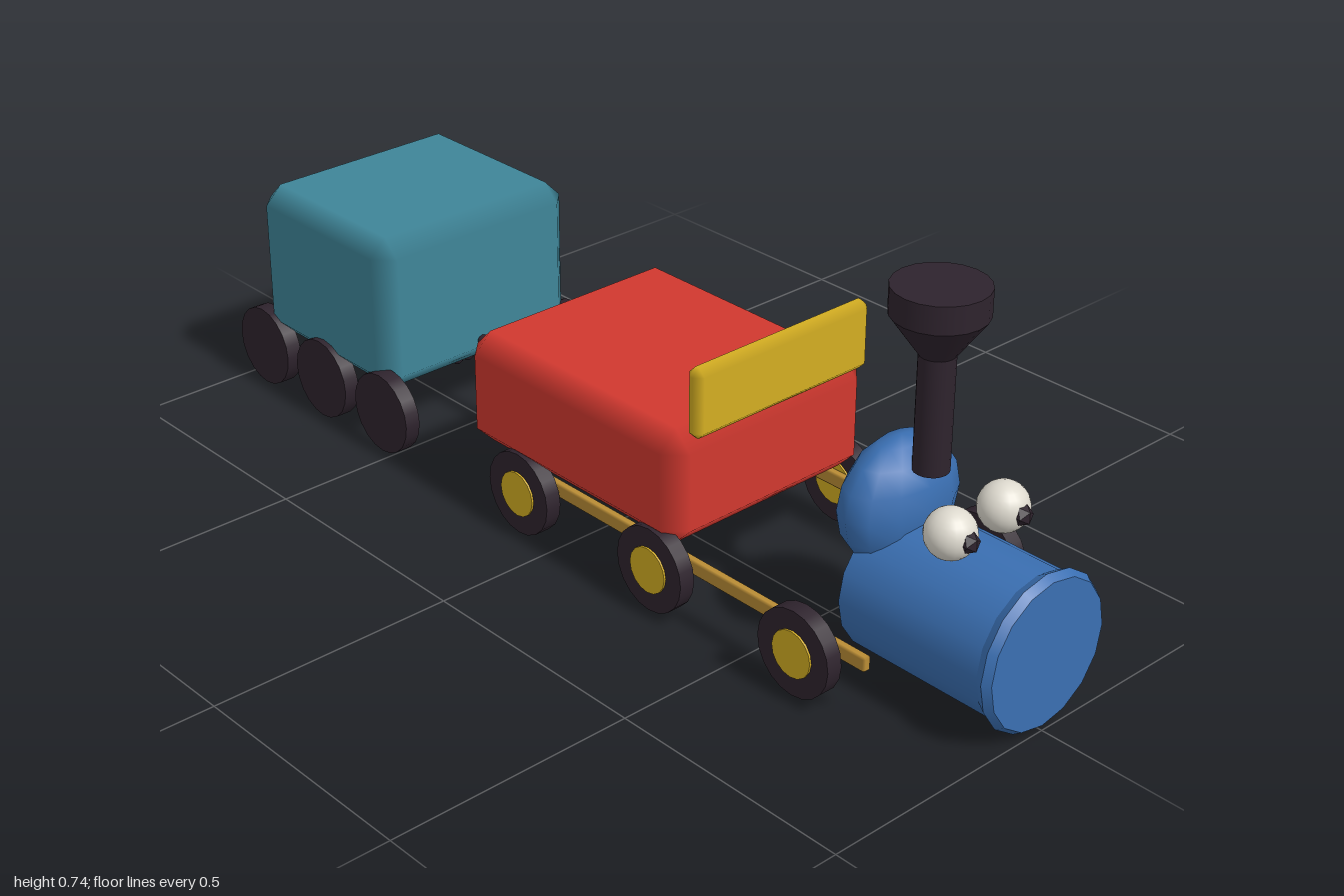
import * as THREE from 'three';
import { ConvexGeometry } from 'three/addons/geometries/ConvexGeometry.js';

const paint = (name, color) => {
  const m = new THREE.MeshStandardMaterial({ color });
  m.name = name;
  return m;
};

// Box with one bevel cut: flat main faces, shading blended across the bevels
function bevelBox(w, h, d, b) {
  const half = [w / 2, h / 2, d / 2];
  const points = [];
  for (let axis = 0; axis < 3; axis++)
    for (const sx of [-1, 1]) for (const sy of [-1, 1]) for (const sz of [-1, 1]) {
      const p = [sx, sy, sz].map((s, i) => s * (half[i] - (i === axis ? 0 : b)));
      points.push(new THREE.Vector3(...p));
    }
  const geo = new ConvexGeometry(points);
  const pos = geo.attributes.position, nor = geo.attributes.normal;
  for (let i = 0; i < pos.count; i++) {
    const p = [pos.getX(i), pos.getY(i), pos.getZ(i)];
    const n = p.map((v, k) => (Math.abs(Math.abs(v) - half[k]) < 1e-4 ? Math.sign(v) : 0));
    nor.setXYZ(i, ...n);
  }
  return geo;
}

export function createModel() {
  const train = new THREE.Group();
  train.name = 'toyTrain';

  const blue = paint('blue', 0x3a6fb2);
  const red = paint('red', 0xd0382f);
  const teal = paint('teal', 0x3f8598);
  const yellow = paint('yellow', 0xd3ad22);
  const brass = paint('brass', 0xb98c35);
  const black = paint('black', 0x2e232d);
  const white = paint('white', 0xdedacf);

  const add = (name, geo, mat, x, y, z, parent = train) => {
    const mesh = new THREE.Mesh(geo, mat);
    mesh.name = name;
    mesh.position.set(x, y, z);
    parent.add(mesh);
    return mesh;
  };
  const alongZ = (rFront, rBack, len, seg = 16, open = false) =>
    new THREE.CylinderGeometry(rFront, rBack, len, seg, 1, open).rotateX(Math.PI / 2);
  const alongX = (r, len, seg) =>
    new THREE.CylinderGeometry(r, r, len, seg).rotateZ(Math.PI / 2);

  // Engine: boiler with flared front rim, and domed back
  add('boiler', alongZ(0.14, 0.14, 0.32), blue, 0, 0.155, 0.81);
  add('boilerFlare', alongZ(0.152, 0.14, 0.02, 16, true), blue, 0, 0.155, 0.975);
  add('boilerFront', alongZ(0.142, 0.152, 0.015), blue, 0, 0.155, 0.9925);
  add('dome', new THREE.SphereGeometry(1, 12, 8).scale(0.133, 0.125, 0.078), blue, 0, 0.31, 0.652);

  // Funnel
  add('funnelPipe', new THREE.CylinderGeometry(0.033, 0.033, 0.22, 20), black, 0, 0.505, 0.722);
  add('funnelCone', new THREE.CylinderGeometry(0.087, 0.033, 0.075, 20, 1, true), black, 0, 0.6525, 0.722);
  add('funnelTop', new THREE.CylinderGeometry(0.087, 0.087, 0.052, 20), black, 0, 0.716, 0.722);

  // Eyes
  for (const s of [-1, 1]) {
    add('eye', new THREE.SphereGeometry(0.047, 20, 14), white, s * 0.067, 0.343, 0.83);
    add('pupil', new THREE.IcosahedronGeometry(0.021, 0), black, s * 0.067, 0.343, 0.87);
  }

  // Cars, seat board and coupling
  add('redCar', bevelBox(0.5, 0.235, 0.595, 0.04), red, 0, 0.267, 0.053);
  add('board', bevelBox(0.434, 0.14, 0.038, 0.015), yellow, 0, 0.449, 0.356);
  add('tealCar', bevelBox(0.486, 0.332, 0.43, 0.038), teal, 0, 0.299, -0.713);
  add('coupling', alongZ(0.013, 0.013, 0.28, 10), black, 0, 0.184, -0.37);

  // Side rails, wheels and struts, mirrored
  for (const s of [-1, 1]) {
    add('sideRail', bevelBox(0.018, 0.03, 0.89, 0.004), brass, s * 0.207, 0.122, 0.34);

    for (const z of [0.655, 0.29, -0.078]) {
      const wheel = new THREE.Group();
      wheel.name = 'hubWheel';
      wheel.position.set(s * 0.239, 0.102, z);
      train.add(wheel);
      add('tyre', alongX(0.085, 0.033, 20), black, 0, 0, 0, wheel);
      add('hub', alongX(0.046, 0.041, 16), yellow, 0, 0, 0, wheel);
    }
    for (const z of [-0.51, -0.713, -0.915])
      add('plainWheel', alongX(0.085, 0.033, 20), black, s * 0.239, 0.102, z);

    for (const x of [0.098, 0.127]) {
      add('strut', new THREE.CylinderGeometry(0.01, 0.01, 0.12, 8), black, s * x, 0.09, -0.713);
      add('strutFoot', new THREE.SphereGeometry(0.014, 8, 6), black, s * x, 0.029, -0.713);
    }
  }
  return train;
}
